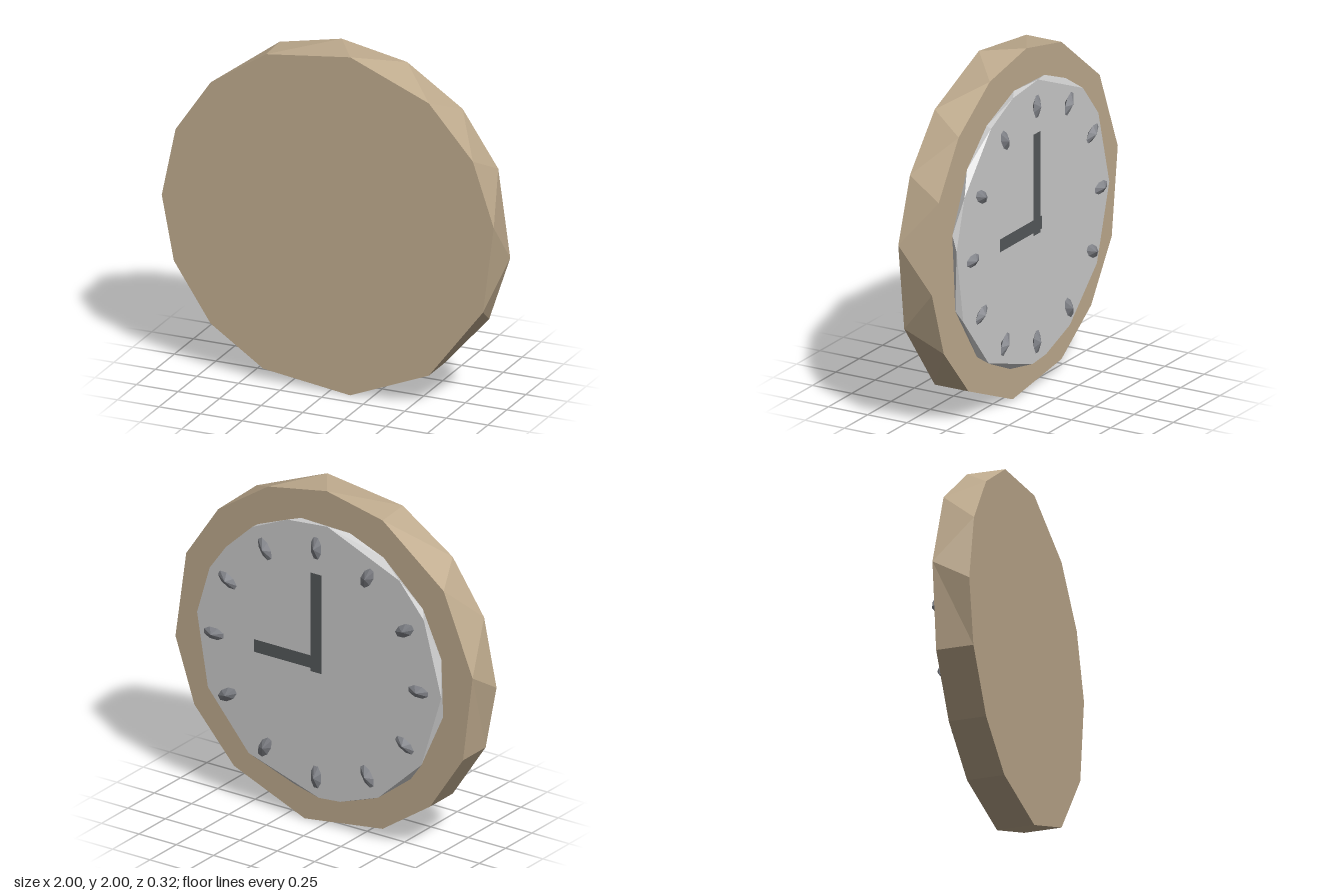
import * as THREE from 'three';

const mat = (color) => new THREE.MeshStandardMaterial({ color, flatShading: true, side: THREE.DoubleSide });

// Low-poly disc: two irregular rings (angles in rising degrees) zigzag-stitched and capped
function facetedDisc(radius, frontAngles, frontZ, backAngles, backZ) {
  const ring = (angles, z) => angles.map((a) => {
    const t = THREE.MathUtils.degToRad(a);
    return [radius * Math.cos(t), radius * Math.sin(t), z];
  });
  const f = ring(frontAngles, frontZ), b = ring(backAngles, backZ);
  const n = f.length, m = b.length, pos = [];
  const tri = (...pts) => pts.forEach((p) => pos.push(...p));
  const next = (angles, i) => (i + 1 < angles.length ? angles[i + 1] : angles[0] + 360);
  // rim
  for (let i = 0, j = 0; i < n || j < m;) {
    const stepFront = j >= m || (i < n && next(frontAngles, i) <= next(backAngles, j));
    if (stepFront) {
      tri(f[i % n], b[j % m], f[(i + 1) % n]);
      i++;
    } else {
      tri(f[i % n], b[j % m], b[(j + 1) % m]);
      j++;
    }
  }
  // caps
  for (let i = 1; i < n - 1; i++) tri(f[0], f[i], f[i + 1]);
  for (let j = 1; j < m - 1; j++) tri(b[0], b[j + 1], b[j]);
  const geo = new THREE.BufferGeometry();
  geo.setAttribute('position', new THREE.Float32BufferAttribute(pos, 3));
  geo.computeVertexNormals();
  return geo;
}

export function createModel() {
  const group = new THREE.Group();
  const wood = mat(0xbfab8e), dial = mat(0xcccccc), marker = mat(0x85878d), hand = mat(0x55595b);
  const add = (name, geo, material, x = 0, y = 1, z = 0) => {
    const mesh = new THREE.Mesh(geo, material);
    mesh.name = name;
    mesh.position.set(x, y, z);
    group.add(mesh);
    return mesh;
  };

  // Thick wooden body
  add('clockBody', facetedDisc(1.003,
    [7.5, 30, 53, 82.5, 112, 135, 156.5, 180, 202, 225, 247, 277.5, 307, 338], 0.16,
    [23, 45, 68, 91, 113, 143, 172.5, 202, 225, 247, 277.5, 307, 330, 353], -0.055), wood);

  // Thin dial floating just off the body, facing -z
  add('dial', facetedDisc(0.82,
    [12, 38, 58, 80, 103, 120, 145, 166, 190, 224, 250, 283, 311, 340], -0.07,
    [6, 27, 57, 75, 94, 131, 149, 181, 213, 241, 260, 270, 305, 335], -0.105), dial);

  // Twelve pill-shaped hour markers with a diamond cross-section
  const pill = new THREE.SphereGeometry(1, 8, 2);
  pill.rotateX(Math.PI / 2).rotateZ(Math.PI / 8).scale(0.037, 0.07, 0.027);
  for (let i = 0; i < 12; i++) {
    const a = (i / 12) * Math.PI * 2;
    add('hourMarker' + (i + 1), pill, marker, 0.685 * Math.cos(a), 1 + 0.685 * Math.sin(a), -0.133)
      .rotation.z = a - Math.PI / 2;
  }

  // Flat hands
  add('minuteHand', new THREE.PlaneGeometry(0.075, 0.59), hand, 0, 1.235, -0.132);
  add('hourHand', new THREE.PlaneGeometry(0.45, 0.075), hand, 0.185, 1, -0.139);

  return group;
}
